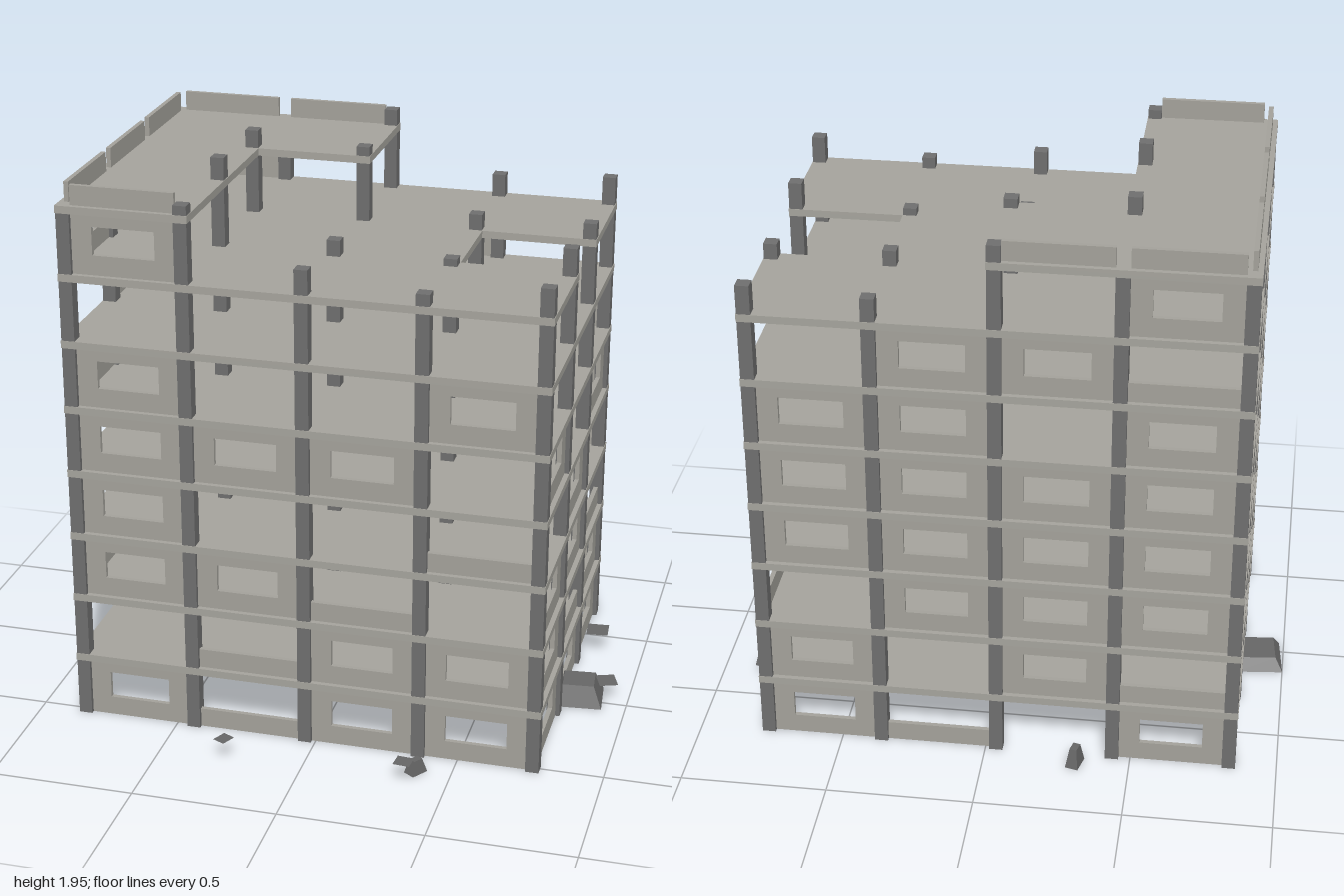
import * as THREE from 'three';

const mat = (name, color) => {
  const m = new THREE.MeshStandardMaterial({ color });
  m.name = name;
  return m;
};

// Structural grid
const X = [-0.837, -0.437, -0.037, 0.363, 0.76];
const Z = [0.508, 0.11, -0.285, -0.683];
const COL = 0.046, STOREY = 0.2335, SLAB = 0.026, THICK = 0.016;
const SILL = 0.068, HEAD = 0.165, WINDOW = 0.214;

export function createModel() {
  const model = new THREE.Group();
  model.name = 'ruinedBuilding';
  const slabMat = mat('slabConcrete', 0xa5a39c);
  const panelMat = mat('panelConcrete', 0xa3a19a);
  const columnMat = mat('columnConcrete', 0x6e6e6e);
  const rubbleMat = mat('rubbleStone', 0x666666);

  const add = (parent, name, geo, material) => {
    const m = new THREE.Mesh(geo, material);
    m.name = name;
    parent.add(m);
    return m;
  };
  const group = (name) => {
    const g = new THREE.Group();
    g.name = name;
    model.add(g);
    return g;
  };

  // Floor slabs: outline points are [x, z]
  const e = COL / 2 + 0.002;
  const L = X[0] - e, R = X[4] + e, F = Z[0] + e, B = Z[3] - e;
  const full = [[L, F], [R, F], [R, B], [L, B]];
  const notched = [[L, F], [R, F], [R, Z[1] - e], [X[3] + e, Z[1] - e],
    [X[3] + e, Z[2] + e], [R, Z[2] + e], [R, B], [L, B]];
  const roof = [[L, F], [X[1] + e, F], [X[1] + e, Z[2] + e],
    [X[2] + e, Z[2] + e], [X[2] + e, B], [L, B]];
  const slabs = group('floorSlabs');
  for (let k = 1; k <= 8; k++) {
    const outline = k === 8 ? roof : k === 7 ? notched : full;
    const shape = new THREE.Shape(outline.map(([x, z]) => new THREE.Vector2(x, -z)));
    const geo = new THREE.ExtrudeGeometry(shape, { depth: SLAB, bevelEnabled: false });
    geo.rotateX(-Math.PI / 2);
    add(slabs, k === 8 ? 'roofSlab' : 'floorSlab', geo, slabMat).position.y = k * STOREY - SLAB;
  }

  // Columns, broken off at different heights (rows follow Z, entries follow X)
  const tops = [
    [1.86, 1.90, 1.72, 1.675, 1.73],
    [1.86, 1.945, 1.69, 1.66, 1.73],
    [1.86, 1.93, 1.90, 1.69, 1.69],
    [1.86, 1.86, 1.925, 1.715, 1.735],
  ];
  const columns = group('columns');
  tops.forEach((row, j) => row.forEach((top, i) => {
    const geo = new THREE.BoxGeometry(COL, top, COL);
    add(columns, 'column', geo, columnMat).position.set(X[i], top / 2, Z[j]);
  }));

  // Wall panels: W = panel with window opening, S = sill only
  const panelGeometry = (kind, w) => {
    if (kind === 'S') return new THREE.BoxGeometry(w, SILL, THICK).translate(0, SILL / 2, 0);
    const h = STOREY - SLAB, a = w / 2, b = WINDOW / 2;
    const shape = new THREE.Shape([[-a, 0], [a, 0], [a, h], [-a, h]].map((p) => new THREE.Vector2(...p)));
    shape.holes.push(new THREE.Path(
      [[-b, SILL], [-b, HEAD], [b, HEAD], [b, SILL]].map((p) => new THREE.Vector2(...p))));
    return new THREE.ExtrudeGeometry(shape, { depth: THICK, bevelEnabled: false }).translate(0, 0, -THICK / 2);
  };
  // One string per storey from the ground up; the last is the roof parapet
  const facades = [
    { name: 'frontPanels', along: X, fixed: Z[0], turn: false,
      rows: ['WSWW', '-SWW', 'WWS-', 'W--S', 'WWW-', 'W--W', '----', 'W---', 'S---'] },
    { name: 'backPanels', along: X, fixed: Z[3], turn: false,
      rows: ['W-SW', 'SW-W', 'WWW-', 'WWWW', 'WWWW', 'W-WW', 'SWW-', 'W---', 'SS--'] },
    { name: 'rightPanels', along: Z, fixed: X[4], turn: true,
      rows: ['WWW', 'WSW', 'WWS', '-W-', 'W-W', '---', '---'] },
    { name: 'leftPanels', along: Z, fixed: X[0], turn: true,
      rows: ['-W-', '-WW', 'W-W', '-W-', '-SW', 'WWW', '-WW', 'WWW', 'SSS'] },
  ];
  for (const { name, along, fixed, turn, rows } of facades) {
    const g = group(name);
    rows.forEach((row, s) => [...row].forEach((kind, i) => {
      if (kind === '-') return;
      const w = Math.abs(along[i + 1] - along[i]) - COL;
      const mid = (along[i] + along[i + 1]) / 2;
      const label = s === 8 ? 'parapet' : kind === 'W' ? 'windowPanel' : 'sillPanel';
      const m = add(g, label, panelGeometry(kind, w), panelMat);
      m.position.set(turn ? fixed : mid, s * STOREY, turn ? mid : fixed);
      if (turn) m.rotation.y = Math.PI / 2;
    }));
  }

  // Rubble blocks: x, z, width, depth, height, turn, top scale
  const rubble = group('rubble');
  [
    [-0.91, -0.045, 0.165, 0.18, 0.045, 0.1, 0.7],
    [-0.27, 0.71, 0.085, 0.1, 0.08, -0.45, 0.55],
    [0.355, 0.70, 0.105, 0.105, 0.08, -0.08, 0.55],
    [0.38, 0.625, 0.045, 0.065, 0.05, -0.6, 0.55],
    [0.83, -0.395, 0.13, 0.14, 0.08, 0.08, 0.6],
    [0.825, -0.02, 0.17, 0.16, 0.075, 0.1, 0.65],
    [0.92, -0.05, 0.11, 0.13, 0.065, 0.35, 0.6],
    [-0.315, -0.745, 0.045, 0.07, 0.07, -0.25, 0.55],
  ].forEach(([x, z, w, d, h, turn, top]) => {
    const geo = new THREE.BoxGeometry(w, h, d).translate(0, h / 2, 0);
    const p = geo.attributes.position;
    for (let i = 0; i < p.count; i++) {
      if (p.getY(i) > 0) p.setXYZ(i, p.getX(i) * top, h, p.getZ(i) * top);
    }
    geo.computeVertexNormals();
    const m = add(rubble, 'rubbleBlock', geo, rubbleMat);
    m.position.set(x, 0, z);
    m.rotation.y = turn;
  });

  return model;
}
